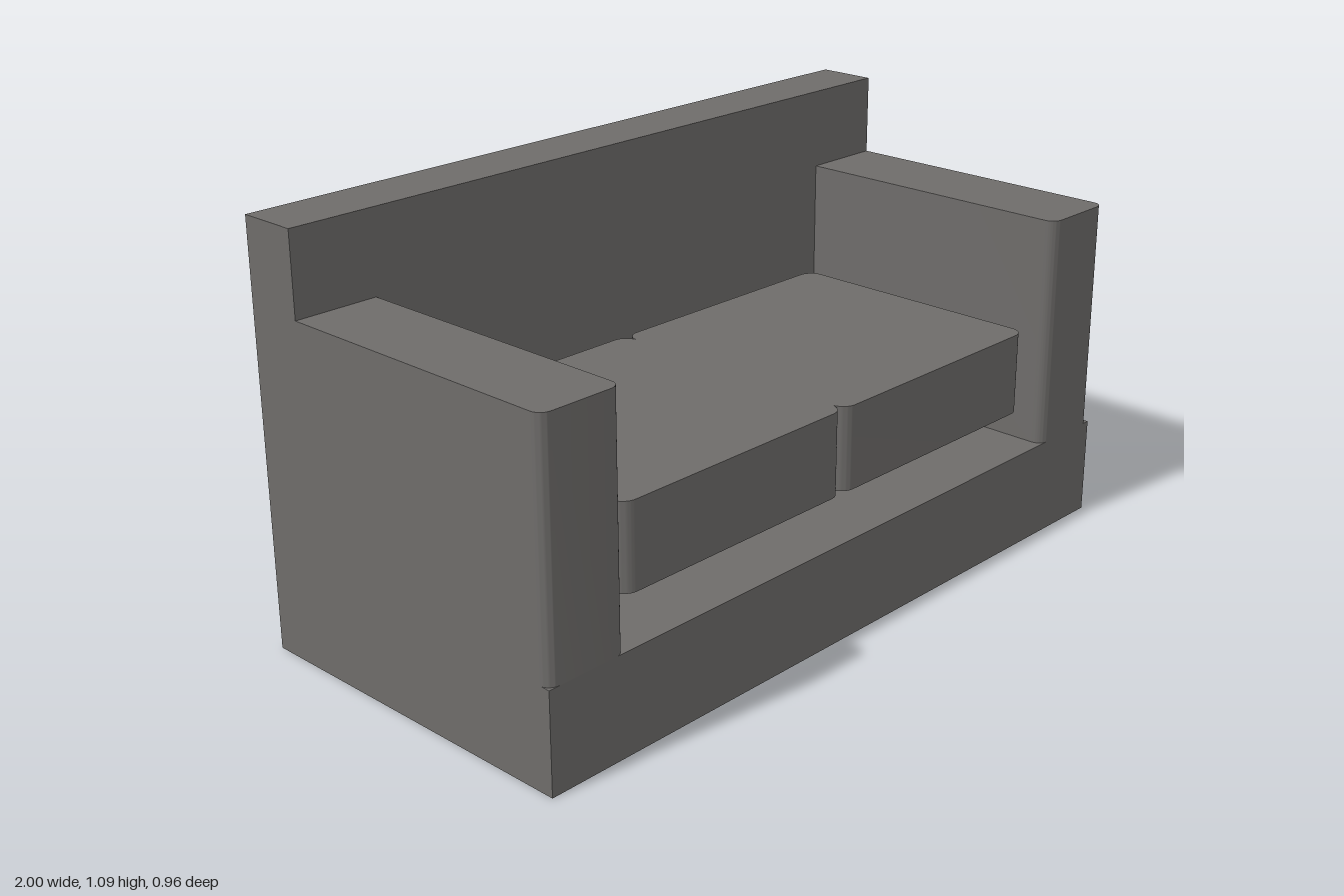
import * as THREE from 'three';
import { toCreasedNormals } from 'three/addons/utils/BufferGeometryUtils.js';

const fabric = new THREE.MeshStandardMaterial({ color: 0x6e6c6a });
fabric.name = 'grey fabric';

function addMesh(group, name, geometry) {
  const mesh = new THREE.Mesh(geometry, fabric);
  mesh.name = name;
  group.add(mesh);
}

// Box given by its lowest and highest corners
function block(x0, x1, y0, y1, z0, z1) {
  return new THREE.BoxGeometry(x1 - x0, y1 - y0, z1 - z0)
    .translate((x0 + x1) / 2, (y0 + y1) / 2, (z0 + z1) / 2);
}

// Upright block with rounded vertical edges; the back edges may have their own radius
function roundedBlock(x0, x1, y0, y1, z0, z1, front, back) {
  const s = new THREE.Shape();
  s.moveTo(x0 + front, -z1);
  s.lineTo(x1 - front, -z1);
  s.absarc(x1 - front, -z1 + front, front, -Math.PI / 2, 0);
  if (back > 0) s.absarc(x1 - back, -z0 - back, back, 0, Math.PI / 2);
  else s.lineTo(x1, -z0);
  if (back > 0) s.absarc(x0 + back, -z0 - back, back, Math.PI / 2, Math.PI);
  else s.lineTo(x0, -z0);
  s.absarc(x0 + front, -z1 + front, front, Math.PI, Math.PI * 1.5);
  const g = new THREE.ExtrudeGeometry(s, { depth: y1 - y0, bevelEnabled: false, curveSegments: 8 });
  g.rotateX(-Math.PI / 2).translate(0, y0, 0);
  return toCreasedNormals(g, Math.PI / 5);
}

export function createModel() {
  const sofa = new THREE.Group();
  sofa.name = 'sofa';

  // Plinth and backrest
  addMesh(sofa, 'base', block(-1, 1, 0, 0.26, -0.48, 0.48));
  addMesh(sofa, 'backrest', block(-1, 1, 0.26, 1.09, -0.48, -0.32));

  // Arms with rounded front edges and seat cushions, one per side
  for (const [side, sign] of [['left', 1], ['right', -1]]) {
    const span = (a, b) => (sign > 0 ? [a, b] : [-b, -a]);
    addMesh(sofa, side + 'Arm', roundedBlock(...span(0.775, 1), 0.26, 0.877, -0.32, 0.48, 0.03, 0));
    addMesh(sofa, side + 'Cushion', roundedBlock(...span(0, 0.735), 0.36, 0.58, -0.3, 0.435, 0.04, 0.04));
  }
  return sofa;
}
